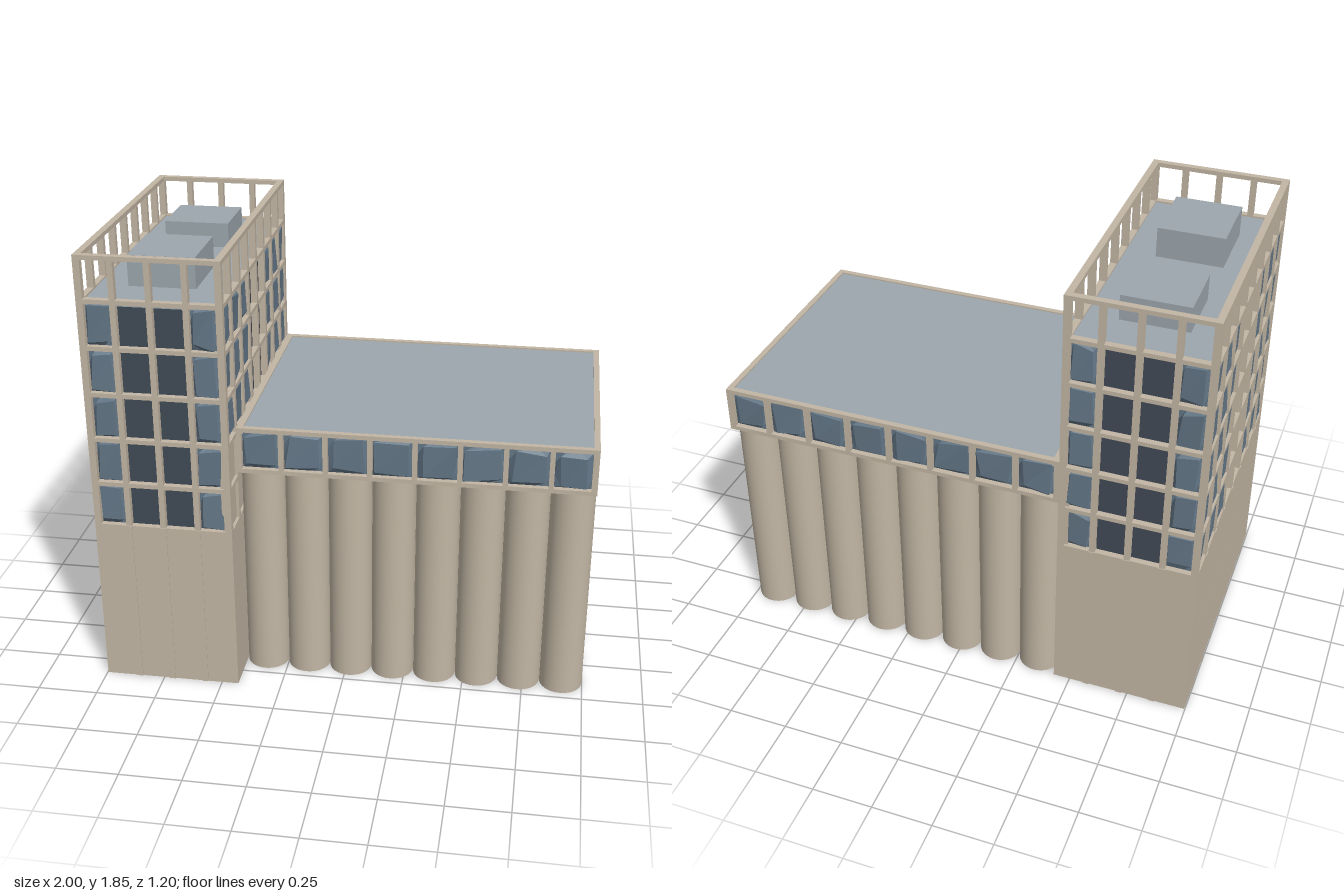
import * as THREE from 'three';

const mat = (name, color, side = THREE.FrontSide) => {
  const m = new THREE.MeshStandardMaterial({ color, side });
  m.name = name;
  return m;
};

export function createModel() {
  const concrete = mat('concrete', 0xc2b6a4, THREE.DoubleSide);
  const glass = mat('blue glass', 0x647787);
  const dark = mat('dark glass', 0x414a55);
  const roof = mat('roof grey', 0x9ca6ad);
  const model = new THREE.Group();
  model.name = 'siloBuilding';

  let seed = 7;
  const rnd = () => (seed = (seed * 16807) % 2147483647) / 2147483647 - 0.5;

  const add = (parent, name, geo, m, x = 0, y = 0, z = 0) => {
    const mesh = new THREE.Mesh(geo, m);
    mesh.name = name;
    mesh.position.set(x, y, z);
    parent.add(mesh);
    return mesh;
  };
  // Box given by its minimum and maximum on each axis
  const block = (parent, name, m, x0, x1, y0, y1, z0, z1) =>
    add(parent, name, new THREE.BoxGeometry(x1 - x0, y1 - y0, z1 - z0), m,
      (x0 + x1) / 2, (y0 + y1) / 2, (z0 + z1) / 2);
  // Four walls standing on the ground, open below and above
  const walls = (name, x0, x1, h, z0, z1) => {
    const g = new THREE.CylinderGeometry(Math.SQRT1_2, Math.SQRT1_2, h, 4, 1, true, Math.PI / 4)
      .scale(x1 - x0, 1, z1 - z0).toNonIndexed();
    g.computeVertexNormals();
    add(model, name, g, concrete, (x0 + x1) / 2, h / 2, (z0 + z1) / 2);
  };

  // Pillowed window: a jittered grid raised from its rim, with flat facets
  const pillow = (w, h) => {
    const g = new THREE.PlaneGeometry(w, h, 3, 3);
    const p = g.attributes.position;
    for (let i = 0; i < p.count; i++) {
      const c = i % 4, r = Math.floor(i / 4);
      const edge = c === 0 || c === 3 || r === 0 || r === 3;
      if (edge) p.setZ(i, -0.024);
      else p.setXYZ(i, p.getX(i) * 2.4 + rnd() * w * 0.16, p.getY(i) * 2.4 + rnd() * h * 0.16, -0.008 + rnd() * 0.012);
    }
    const flat = g.toNonIndexed();
    flat.computeVertexNormals();
    return flat;
  };

  // Framed facade: outer face at local z = 0, looking along +z
  const facade = (name, o, x, z, turn) => {
    const f = new THREE.Group();
    f.name = name;
    f.position.set(x, 0, z);
    f.rotation.y = turn;
    model.add(f);
    const { w, bays, levels, top, corner, post, beam, depth } = o;
    const edges = [];
    for (let i = 0; i <= bays; i++) {
      const c = -w / 2 + (i * w) / bays;
      const a = i === 0 ? c : i === bays ? c - corner : c - post / 2;
      const b = i === 0 ? c + corner : i === bays ? c : c + post / 2;
      edges.push([a, b]);
      block(f, 'post', concrete, a, b, levels[0], top, -depth, 0);
    }
    const beams = levels.map((y) => [y - beam / 2, y + beam / 2]);
    beams.forEach(([a, b]) => block(f, 'beam', concrete, -w / 2, w / 2, a, b, -depth, 0));
    if (top > levels[levels.length - 1] + 0.05)
      block(f, 'topRail', concrete, -w / 2, w / 2, top - 0.018, top, -depth, 0);
    for (let r = o.firstRow || 0; r < levels.length - 1; r++)
      for (let i = 0; i < bays; i++) {
        if (o.plainMiddle && Math.abs(i - (bays - 1) / 2) < 1) continue;
        const x0 = edges[i][1], x1 = edges[i + 1][0], y0 = beams[r][1], y1 = beams[r + 1][0];
        add(f, 'pillowWindow', pillow(x1 - x0, y1 - y0), glass, (x0 + x1) / 2, (y0 + y1) / 2, 0);
      }
  };

  // Tower: hollow base, dark core behind the windows, roof slab
  const L = -0.997, R = -0.43, Z = 0.597, TX = (L + R) / 2;
  walls('towerBase', L, R, 0.72, -Z, Z);
  block(model, 'towerFloor', concrete, L + 0.002, R - 0.002, 0.705, 0.719, -Z + 0.002, Z - 0.002);
  block(model, 'towerCore', dark, L + 0.026, R - 0.026, 0.719, 1.65, -Z + 0.026, Z - 0.026);
  block(model, 'towerRoof', roof, L + 0.02, R - 0.02, 1.65, 1.672, -Z + 0.02, Z - 0.02);
  block(model, 'lowerSideWall', concrete, R - 0.04, R - 0.012, 0.72, 1.1, -Z + 0.01, Z - 0.01);
  block(model, 'roofUnit', roof, -0.85, -0.58, 1.67, 1.797, 0.11, 0.4);
  block(model, 'roofUnit', roof, -0.85, -0.58, 1.67, 1.775, -0.4, -0.145);

  const tower = {
    levels: [0.711, 0.902, 1.095, 1.287, 1.48, 1.67], top: 1.852, corner: 0.027,
    post: 0.023, beam: 0.018, depth: 0.027, plainMiddle: true,
  };
  const narrow = { ...tower, w: R - L, bays: 4 }, wide = { ...tower, w: 2 * Z, bays: 8 };
  facade('towerFront', narrow, TX, Z, 0);
  facade('towerBack', narrow, TX, -Z, Math.PI);
  facade('towerRightSide', wide, L, 0, -Math.PI / 2);
  facade('towerLeftSide', { ...wide, firstRow: 2 }, R, 0, Math.PI / 2);

  // Slim ribs on the tower base
  for (let i = 1; i < 4; i++) {
    const x = L + ((R - L) * i) / 4;
    for (const s of [-1, 1])
      add(model, 'baseRib', new THREE.BoxGeometry(0.026, 0.72, 0.004), concrete, x, 0.36, s * (Z + 0.002));
  }
  for (let i = 1; i < 8; i++)
    add(model, 'baseRib', new THREE.BoxGeometry(0.004, 0.72, 0.026), concrete, L - 0.002, 0.36, -Z + (2 * Z * i) / 8);

  // Silo block: touching half tubes set against hollow walls, three-quarter tubes on corners
  const B = -0.6, F = 0.468, E = 1, nx = 8, nz = 6, H = 0.93, Q = Math.PI / 2;
  const px = (E - R) / nx, pz = (F - B) / nz, rad = 0.0888;
  walls('siloWalls', R, E - px / 2, H, B + pz / 2, F - pz / 2);
  const tube = (start, quarters) => new THREE.CylinderGeometry(rad, rad, H, 8 * quarters, 1, true, start * Q, quarters * Q);
  const silo = (geo, i, j) => add(model, 'silo', geo, concrete, R + px * (i + 0.5), H / 2, B + pz * (j + 0.5));
  const frontTube = tube(-1, 2), backTube = tube(1, 2), sideTube = tube(0, 2);
  for (let i = 0; i < nx - 1; i++) {
    silo(frontTube, i, nz - 1);
    silo(backTube, i, 0);
  }
  for (let j = 1; j < nz - 1; j++) silo(sideTube, nx - 1, j);
  silo(tube(-1, 3), nx - 1, nz - 1);
  silo(tube(0, 3), nx - 1, 0);

  // Glazed top storey over the silos
  block(model, 'topStoreyFloor', concrete, R, E - 0.005, 0.928, 0.942, B + 0.005, F - 0.005);
  block(model, 'topStoreyCore', dark, R, E - 0.026, 0.94, 1.1, B + 0.026, F - 0.026);
  block(model, 'siloRoof', roof, R + 0.02, E - 0.015, 1.1, 1.118, B + 0.015, F - 0.015);
  block(model, 'roofEdge', concrete, R, R + 0.027, 1.1, 1.124, B, F);
  const band = {
    levels: [0.937, 1.115], top: 1.124, corner: 0.02, post: 0.02, beam: 0.018, depth: 0.024,
  };
  const long = { ...band, w: E - R, bays: nx };
  facade('topStoreyFront', long, (R + E) / 2, F, 0);
  facade('topStoreyBack', long, (R + E) / 2, B, Math.PI);
  facade('topStoreyLeftSide', { ...band, w: F - B, bays: nz }, E, (B + F) / 2, Math.PI / 2);

  return model;
}
